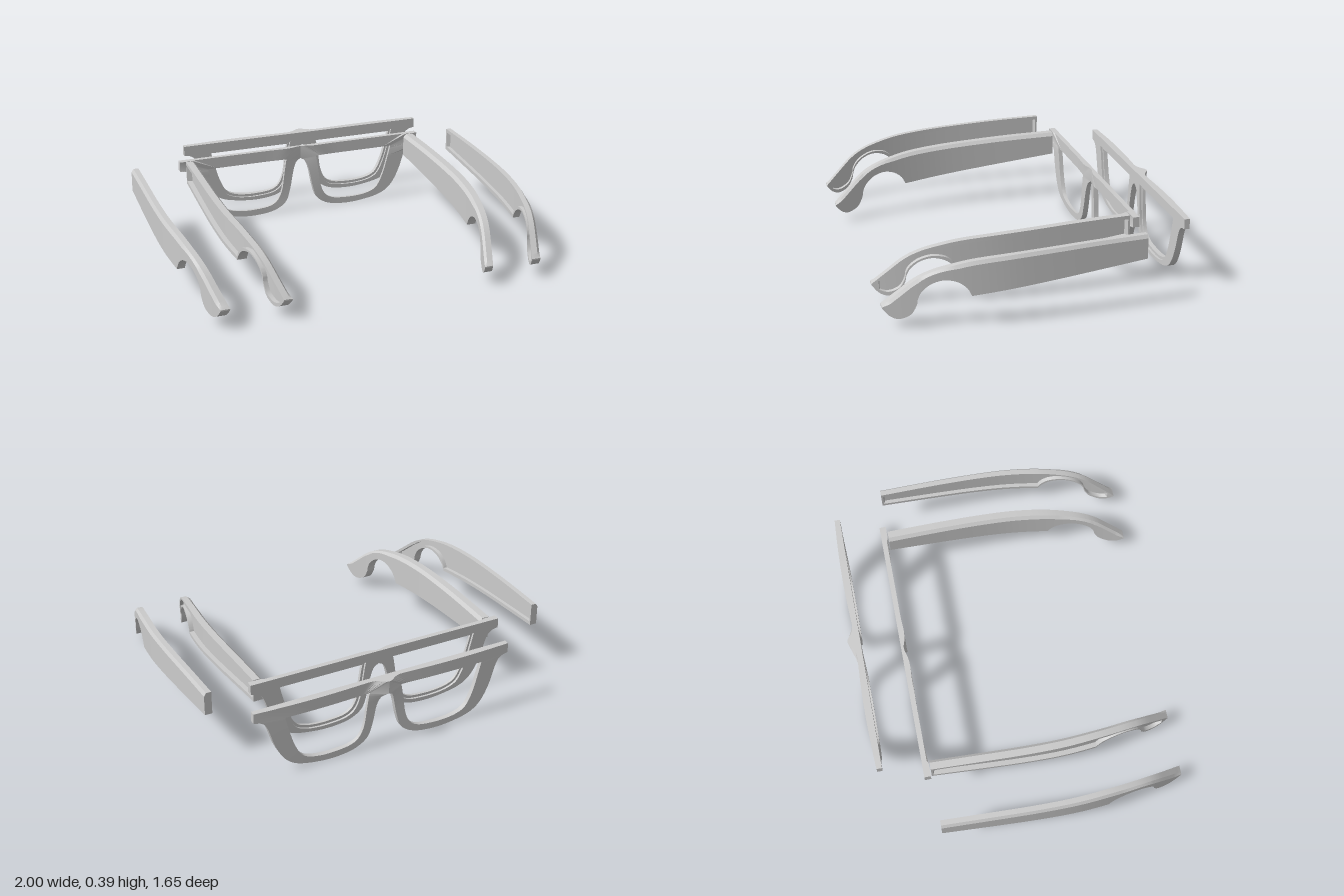
import * as THREE from 'three';
import { toCreasedNormals } from 'three/addons/utils/BufferGeometryUtils.js';

const material = new THREE.MeshStandardMaterial({ color: 0xcccccc });
const vec = ([x, y]) => new THREE.Vector2(x, y);
const smooth = (pts, n) => new THREE.SplineCurve(pts.map(vec)).getPoints(n);
const line = (a, b, n) => Array.from({ length: n }, (_, i) => vec(a).lerp(vec(b), i / n));

// Value of a sampled curve at position z
function lookup(curve, z) {
  let i = 1;
  while (i < curve.length - 1 && curve[i].x < z) i++;
  const a = curve[i - 1], b = curve[i];
  const t = THREE.MathUtils.clamp((z - a.x) / (b.x - a.x), 0, 1);
  return a.y + (b.y - a.y) * t;
}

// Skin a row of cross-sections, either as a ring or with capped ends
function loft(name, loops, ring) {
  const n = loops[0].length, count = loops.length, last = (count - 1) * n, index = [];
  for (let i = 0; i < (ring ? count : count - 1); i++) {
    for (let j = 0; j < n; j++) {
      const k = (j + 1) % n, a = i * n, b = ((i + 1) % count) * n;
      index.push(a + j, a + k, b + k, a + j, b + k, b + j);
    }
  }
  for (let j = 1; j < n - 1 && !ring; j++) index.push(0, j + 1, j, last, last + j, last + j + 1);
  const g = new THREE.BufferGeometry();
  g.setAttribute('position', new THREE.Float32BufferAttribute(loops.flat(2), 3));
  g.setIndex(index);
  const mesh = new THREE.Mesh(toCreasedNormals(g, 0.5), material);
  mesh.name = name;
  return mesh;
}

// Half of the frame edge, from the middle of the brow round to the nose arch
const frameEdge = [
  ...line([0, 0.39], [0.73, 0.39], 50), vec([0.73, 0.39]),
  ...smooth([[0.73, 0.335], [0.69, 0.325], [0.66, 0.29], [0.62, 0.17], [0.57, 0.08], [0.5, 0.03],
    [0.38, 0.005], [0.27, 0], [0.17, 0.015], [0.1, 0.06], [0.07, 0.14], [0.05, 0.24],
    [0.03, 0.295], [0, 0.315]], 78),
];
// Lens opening, point for point beside the frame edge
const lensEdge = [
  ...line([0.09, 0.325], [0.565, 0.325], 50), vec([0.565, 0.325]),
  ...smooth([[0.565, 0.325], [0.56, 0.305], [0.55, 0.265], [0.52, 0.16], [0.48, 0.08], [0.43, 0.05],
    [0.36, 0.037], [0.28, 0.036], [0.2, 0.045], [0.15, 0.075], [0.12, 0.14], [0.105, 0.24],
    [0.095, 0.305], [0.09, 0.325]], 78),
];

// A frame half: two rims with a ledge for the lens on the flat mating side
function makeFrame(name, thickness) {
  const group = new THREE.Group();
  group.name = name;
  const seam = 0.012;
  for (const side of [1, -1]) {
    const loops = frameEdge.map((o, i) => {
      const h = lensEdge[i];
      const lx = 0.33 + (h.x - 0.33) * 1.06, ly = 0.18 + (h.y - 0.18) * 1.1;
      const loop = [
        [o.x, o.y, 0], [o.x, o.y, thickness(o.x, o.y)], [h.x, h.y, thickness(h.x, h.y)],
        [h.x, h.y, seam], [lx, ly, seam], [lx, ly, 0],
      ].map(([x, y, z]) => [side * x, y, z]);
      return side > 0 ? loop : loop.reverse();
    });
    group.add(loft(side > 0 ? 'rimA' : 'rimB', loops, true));
  }
  return group;
}

// Temple side profile, as height against z
const templeTop = smooth([[-0.51, 0.39], [-0.25, 0.384], [0, 0.373], [0.2, 0.362], [0.38, 0.346],
  [0.515, 0.318], [0.6, 0.29], [0.67, 0.25], [0.75, 0.18], [0.825, 0.112]], 80);
const templeBottom = [
  vec([-0.51, 0.262]), vec([-0.5, 0.261]),
  ...line([-0.49, 0.26], [0.395, 0.165], 24), vec([0.395, 0.165]),
  ...smooth([[0.4, 0.18], [0.425, 0.215], [0.47, 0.245], [0.53, 0.256], [0.59, 0.238], [0.635, 0.2],
    [0.655, 0.16], [0.662, 0.125], [0.69, 0.075], [0.745, 0.05], [0.79, 0.065], [0.825, 0.105]], 55),
];

// A bent temple shell: chamfered smooth face, recessed mating face
function makeTemple(name, smoothFace, mateFace, side, centre) {
  const face = smooth(smoothFace, 50), mate = smooth(mateFace, 50);
  const loops = templeBottom.map(({ x: z, y: bottom }) => {
    const top = lookup(templeTop, z), h = top - bottom;
    const xs = lookup(face, z), t = lookup(mate, z) - xs;
    const w = Math.min(0.02, h * 0.2), b = Math.min(0.018, h * 0.2);
    const floor = z > -0.495 && z < 0.79 ? 0.5 : 1;
    const loop = [[0, 0], [0, h - b], [0.3, h], [1, h], [1, h - w], [floor, h - w], [floor, w], [1, w], [1, 0]]
      .map(([u, v]) => [centre + side * (xs + u * t), bottom + v, z]);
    return side * t > 0 ? loop.reverse() : loop;
  });
  return loft(name, loops, false);
}

export function createModel() {
  const model = new THREE.Group();
  model.name = 'glassesParts';

  // Inner frame half, notched at the bridge and thicker at the hinge ends
  const inner = makeFrame('innerFrame', (x, y) =>
    0.027 + 0.004 * Math.exp(-(((x - 0.1) / 0.06) ** 2)) - 0.013 * Math.exp(-((x / 0.04) ** 2))
    + (x > 0.65 && y > 0.3 ? 0.008 : 0));
  inner.position.set(0.023, 0, -0.55);

  // Outer frame half with a raised bridge
  const outer = makeFrame('outerFrame', (x, y) =>
    0.029 + 0.011 * Math.sin(Math.PI * THREE.MathUtils.clamp((x - 0.07) / 0.66, 0, 1))
    + 0.041 * Math.exp(-((x / 0.045) ** 2)) * THREE.MathUtils.smoothstep(y, 0.2, 0.35));
  outer.rotation.y = Math.PI;
  outer.position.set(0.115, 0, -0.76);
  model.add(inner, outer);

  // Two pairs of temple halves
  for (const side of [1, -1]) {
    const hand = side > 0 ? 'left' : 'right';
    model.add(makeTemple(hand + 'OuterTemple',
      [[-0.51, 0.988], [0, 1], [0.3, 0.99], [0.6, 0.945], [0.825, 0.88]],
      [[-0.51, 0.948], [0, 0.96], [0.3, 0.948], [0.6, 0.902], [0.825, 0.83]], side, 0));
    model.add(makeTemple(hand + 'InnerTemple',
      [[-0.51, 0.642], [0, 0.654], [0.3, 0.642], [0.6, 0.598], [0.825, 0.53]],
      [[-0.51, 0.697], [0, 0.708], [0.3, 0.695], [0.6, 0.645], [0.825, 0.577]], side, 0.025));
  }
  return model;
}
